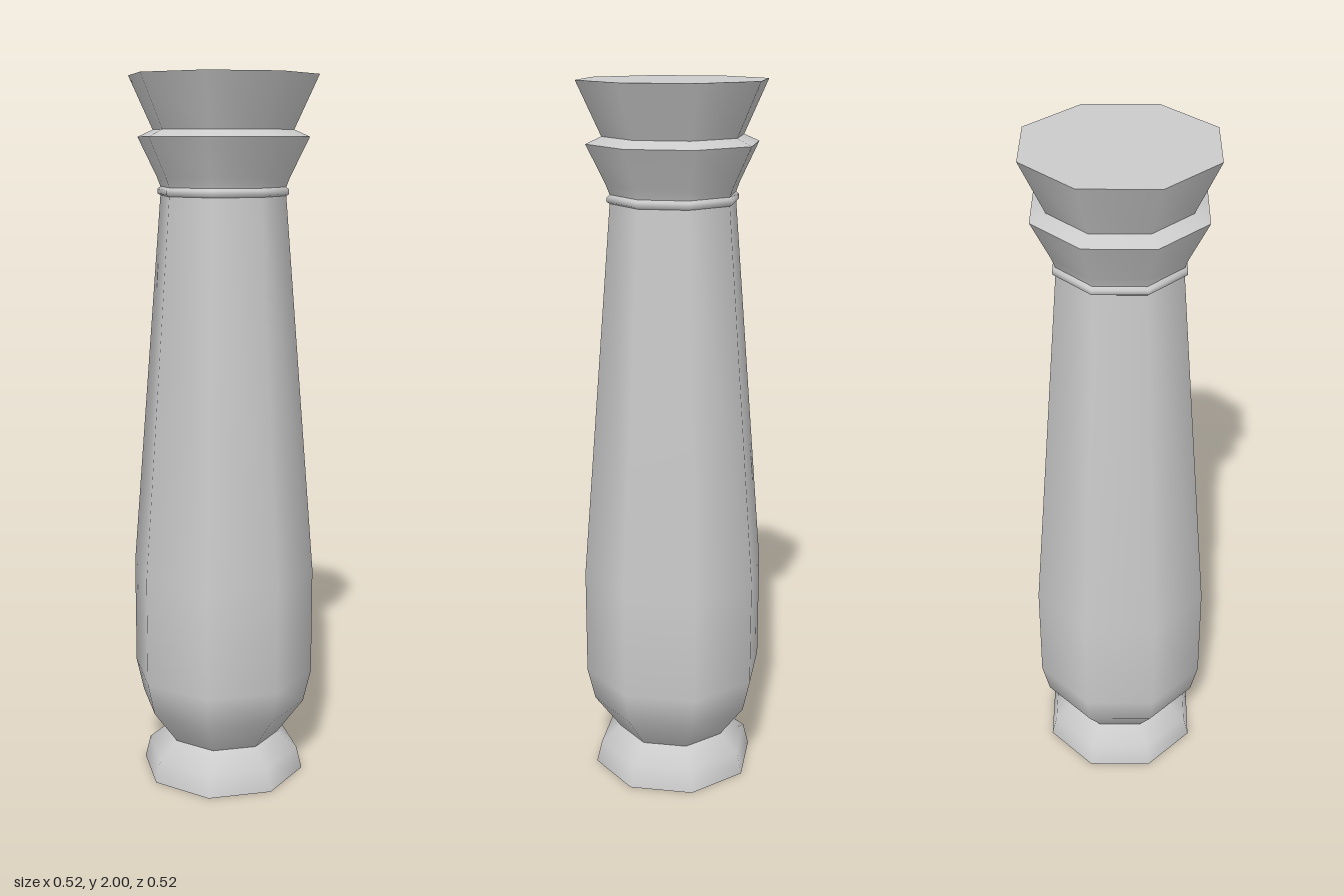
import * as THREE from 'three';

const SIDES = 8;

// Profiles run upward as [radius, height]; each section is smooth, with a crisp edge where sections meet.
const SECTIONS = {
  baseUnderside: [[0, 0], [0.238, 0]],
  basePlinth: [[0.238, 0], [0.222, 0.065], [0.165, 0.112]],
  shaft: [[0.165, 0.112], [0.24, 0.215], [0.262, 0.31], [0.262, 0.62], [0.175, 1.682]],
  collarRing: [[0.175, 1.68], [0.183, 1.685], [0.183, 1.697], [0.175, 1.704]],
  lowerCapital: [[0.175, 1.704], [0.185, 1.73], [0.238, 1.837]],
  capitalLedge: [[0.238, 1.837], [0.195, 1.856]],
  upperCapital: [[0.195, 1.856], [0.262, 2]],
  topFace: [[0.262, 2], [0, 2]],
};

function turned(name, profile, material) {
  const points = profile.map(([r, y]) => new THREE.Vector2(r, y));
  const mesh = new THREE.Mesh(new THREE.LatheGeometry(points, SIDES), material);
  mesh.name = name;
  return mesh;
}

export function createModel() {
  const group = new THREE.Group();
  group.name = 'column';
  const material = new THREE.MeshStandardMaterial({ color: 0xcccccc });
  for (const [name, profile] of Object.entries(SECTIONS)) {
    group.add(turned(name, profile, material));
  }
  return group;
}
